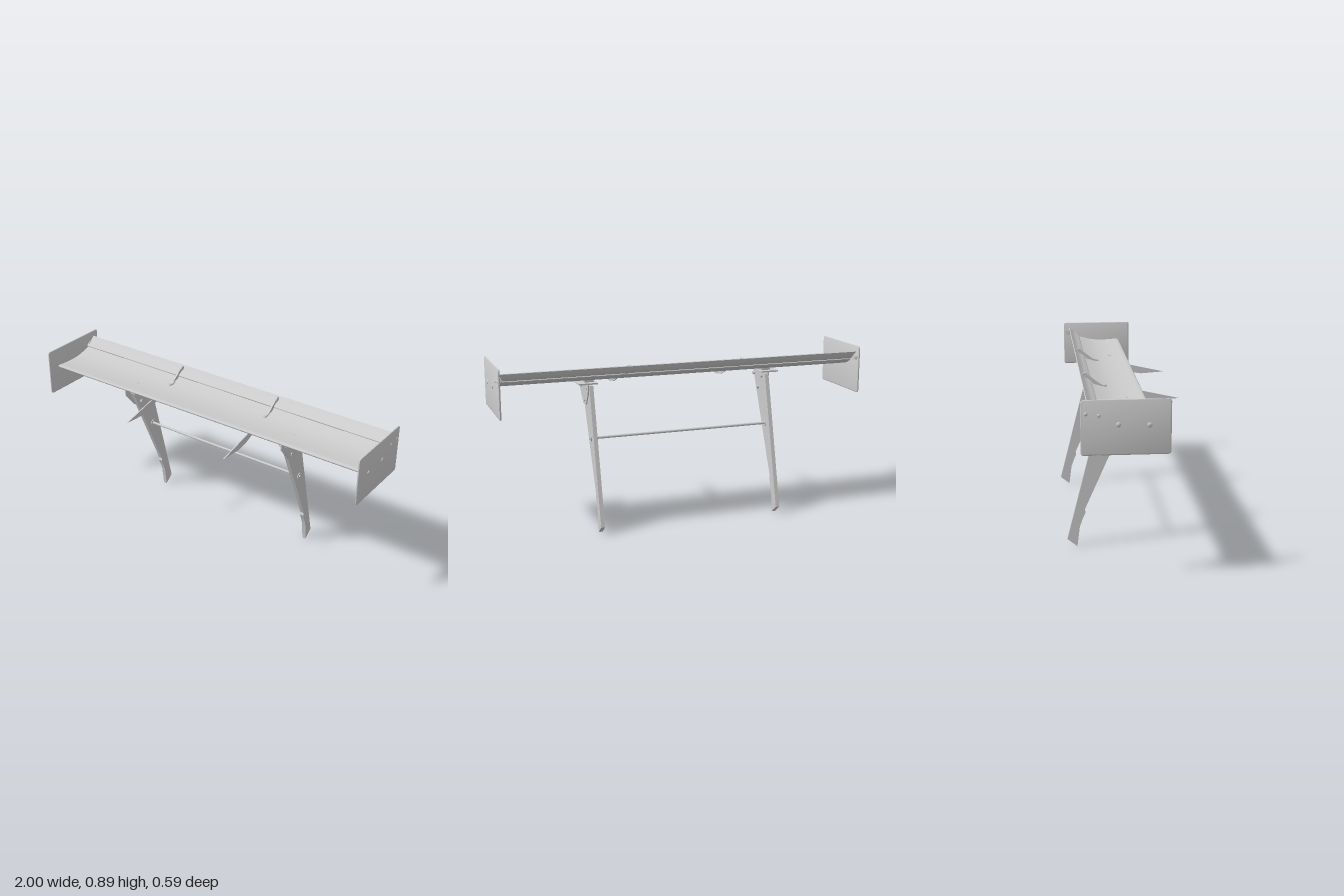
import * as THREE from 'three';
import { toCreasedNormals } from 'three/addons/utils/BufferGeometryUtils.js';

const grey = new THREE.MeshStandardMaterial({ color: 0xcccccc });

function add(parent, name, geometry, x = 0, y = 0, z = 0) {
  const mesh = new THREE.Mesh(geometry, grey);
  mesh.name = name;
  mesh.position.set(x, y, z);
  parent.add(mesh);
  return mesh;
}

// Side profile of [z, y] points, extruded along x and centred on x = 0
function slab(points, width, smooth = false) {
  let pts = points.map(([z, y]) => new THREE.Vector2(z, y));
  if (smooth) pts = new THREE.SplineCurve(pts).getPoints(48);
  const geo = new THREE.ExtrudeGeometry(new THREE.Shape(pts), { depth: width, bevelEnabled: false });
  geo.translate(0, 0, -width / 2).rotateY(-Math.PI / 2);
  return toCreasedNormals(geo, 0.6);
}

// Cylinder lying along x
const disc = (r, length, sides = 20) =>
  new THREE.CylinderGeometry(r, r, length, sides).rotateZ(Math.PI / 2);

// Rounded bolt head flattened along x
const dome = (r) => new THREE.SphereGeometry(r, 16, 10).scale(0.5, 1, 1);

function endPlateGeometry() {
  const z0 = -0.24, z1 = 0.157, y0 = 0.64, y1 = 0.885, r = 0.008;
  const s = new THREE.Shape();
  s.moveTo(z0 + r, y0);
  s.lineTo(z1 - r, y0);
  s.quadraticCurveTo(z1, y0, z1, y0 + r);
  s.lineTo(z1, y1 - r);
  s.quadraticCurveTo(z1, y1, z1 - r, y1);
  s.lineTo(z0 + r, y1);
  s.quadraticCurveTo(z0, y1, z0, y1 - r);
  s.lineTo(z0, y0 + r);
  s.quadraticCurveTo(z0, y0, z0 + r, y0);
  const geo = new THREE.ExtrudeGeometry(s, {
    depth: 0.002, bevelThickness: 0.004, bevelSize: 0.006, bevelSegments: 3, curveSegments: 6,
  });
  geo.translate(0, 0, -0.001).rotateY(-Math.PI / 2);
  return toCreasedNormals(geo, 0.6);
}

export function createModel() {
  const model = new THREE.Group();
  model.name = 'rearWing';

  // Cambered main plane with a rounded leading edge
  add(model, 'mainPlane', slab([
    [-0.165, 0.808], [-0.12, 0.785], [-0.06, 0.77], [0, 0.765], [0.06, 0.766], [0.088, 0.772],
    [0.096, 0.781], [0.088, 0.788], [0.05, 0.785], [-0.01, 0.782], [-0.07, 0.786], [-0.12, 0.797], [-0.165, 0.811],
  ], 1.97, true));

  // Steep rear flap above the slot
  add(model, 'flap', slab([
    [-0.214, 0.858], [-0.194, 0.833], [-0.173, 0.817], [-0.158, 0.813],
    [-0.154, 0.819], [-0.163, 0.826], [-0.186, 0.839], [-0.211, 0.861],
  ], 1.97, true));

  for (const side of [1, -1]) {
    const label = side > 0 ? 'left' : 'right';

    // End plate and its fixings
    const end = new THREE.Group();
    end.name = label + 'EndPlate';
    model.add(end);
    add(end, 'plate', endPlateGeometry(), side * 0.99);
    for (const [z, y, r] of [[0.064, 0.772, 0.012], [-0.076, 0.776, 0.012], [-0.164, 0.819, 0.009], [-0.222, 0.827, 0.009]]) {
      add(end, 'bolt', dome(r), side * 0.9945, y, z);
    }
    add(end, 'flapTab', slab([
      [-0.234, 0.823], [-0.222, 0.815], [-0.165, 0.807], [-0.152, 0.818], [-0.165, 0.831], [-0.21, 0.848], [-0.232, 0.838],
    ], 0.006), side * 0.982);
    add(end, 'flapNut', disc(0.007, 0.008, 6), side * 0.977, 0.827, -0.222);

    // Swept support leg
    const leg = new THREE.Group();
    leg.name = label + 'Leg';
    leg.position.x = side * 0.495;
    model.add(leg);
    add(leg, 'strut', slab([
      [0.04, 0.75], [-0.205, 0.195], [-0.2, 0.18], [-0.212, 0.155], [-0.229, 0.108],
      [-0.243, 0], [-0.293, 0.04], [-0.114, 0.75],
    ], 0.021));

    // Mounting bracket beneath the main plane
    add(leg, 'mountFlange', new THREE.BoxGeometry(0.1, 0.008, 0.16), side * 0.016, 0.761, -0.04);
    add(leg, 'mountRiser', new THREE.BoxGeometry(0.05, 0.025, 0.1), side * 0.005, 0.77, -0.04);
    add(leg, 'mountGusset', slab([
      [0.072, 0.757], [0.07, 0.73], [-0.005, 0.641], [-0.06, 0.641], [-0.1, 0.7], [-0.11, 0.757],
    ], 0.006), side * 0.0135);
    for (const [z, y] of [[0.025, 0.73], [-0.03, 0.66], [-0.075, 0.73]]) {
      add(leg, 'mountBolt', disc(0.009, 0.042, 12), 0, y, z);
    }

    // Tie rod washers and nuts
    add(leg, 'rodWasher', disc(0.017, 0.03, 28), 0, 0.477, -0.128);
    add(leg, 'rodNut', disc(0.007, 0.042, 16), 0, 0.477, -0.128);

    // Pointed blade reaching forward from the underside
    add(model, label + 'Blade', slab([
      [0.295, 0.72], [0.06, 0.772], [0.01, 0.77], [0.02, 0.755], [0.1, 0.722], [0.165, 0.711],
    ], 0.006), side * 0.313);

    // Curved link joining the flap to the main plane
    const link = new THREE.Group();
    link.name = label + 'FlapLink';
    model.add(link);
    add(link, 'arm', slab([
      [-0.075, 0.786], [-0.076, 0.794], [-0.108, 0.802], [-0.14, 0.826], [-0.17, 0.85], [-0.19, 0.862],
      [-0.2, 0.858], [-0.202, 0.846], [-0.185, 0.836], [-0.16, 0.82], [-0.135, 0.796], [-0.11, 0.788],
    ], 0.008), side * 0.313);
    add(link, 'rearBoss', disc(0.012, 0.014), side * 0.313, 0.85, -0.188);
    add(link, 'frontFoot', new THREE.BoxGeometry(0.016, 0.008, 0.034), side * 0.31, 0.794, -0.096);
  }

  // Tie rod between the legs
  add(model, 'tieRod', disc(0.007, 0.98, 16), 0, 0.477, -0.128);

  return model;
}
